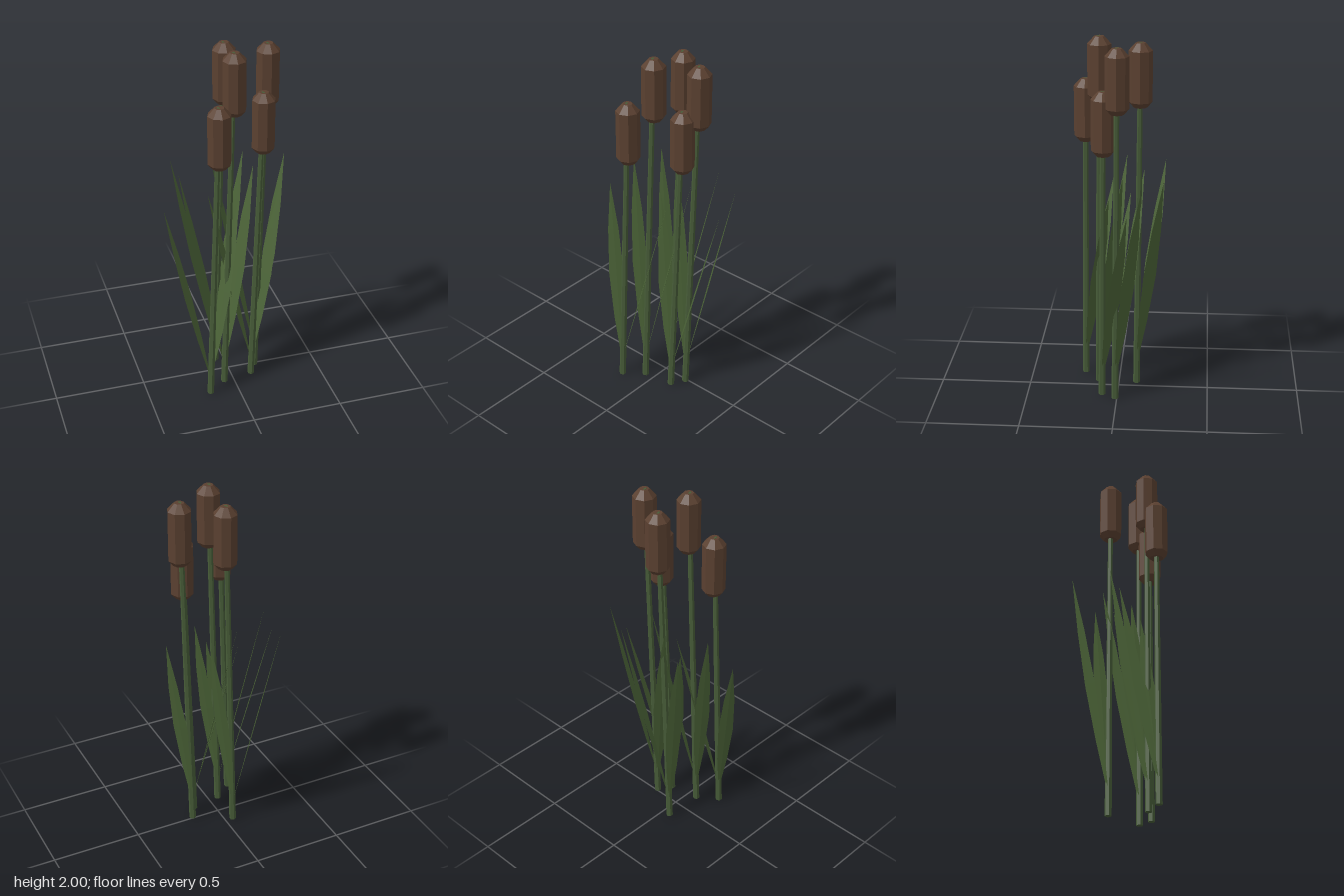
import * as THREE from 'three';

const material = (color) => new THREE.MeshStandardMaterial({ color, flatShading: true });

// Tapered stem between two points
function makeStem(base, top, mat) {
  const dir = top.clone().sub(base);
  const stem = new THREE.Mesh(new THREE.CylinderGeometry(0.013, 0.019, dir.length(), 6), mat);
  stem.name = 'stem';
  stem.position.copy(base).addScaledVector(dir, 0.5);
  stem.quaternion.setFromUnitVectors(new THREE.Vector3(0, 1, 0), dir.normalize());
  return stem;
}

// Thin blade with a diamond section, its width kept horizontal
function makeLeaf(root, tip, mat) {
  const dir = tip.clone().sub(root);
  const length = dir.length();
  dir.normalize();
  const profile = [0, 0.25, 0.5, 0.75, 1].map((t) =>
    new THREE.Vector2(t === 1 ? 0 : Math.max(0.004, 0.041 * Math.sin(Math.PI * t)), t * length));
  const geometry = new THREE.LatheGeometry(profile, 4);
  geometry.scale(1, 1, 0.06);
  const across = new THREE.Vector3(dir.z, 0, -dir.x).normalize();
  const normal = across.clone().cross(dir);
  const leaf = new THREE.Mesh(geometry, mat);
  leaf.name = 'leaf';
  leaf.quaternion.setFromRotationMatrix(new THREE.Matrix4().makeBasis(across, dir, normal));
  leaf.position.copy(root);
  return leaf;
}

export function createModel() {
  const model = new THREE.Group();
  model.name = 'cattails';
  const stemMat = material(0x475c38);
  const leafMat = material(0x4b6337);
  leafMat.side = THREE.DoubleSide;
  const headMat = material(0x5a4030);

  // Eight-sided seed head with bevelled ends, origin at its top
  const headGeometry = new THREE.LatheGeometry(
    [[0, -0.34], [0.038, -0.34], [0.063, -0.31], [0.063, -0.04], [0.026, 0], [0, 0]]
      .map(([r, y]) => new THREE.Vector2(r, y)), 8);

  // Base x, base z, height of each plant
  const plants = [
    [-0.16, 0.197, 1.75],
    [-0.056, 0.115, 2.0],
    [0.111, 0.085, 1.75],
    [0.155, 0.01, 1.985],
    [-0.047, -0.099, 1.97],
  ];

  for (const [x, z, height] of plants) {
    const plant = new THREE.Group();
    plant.name = 'plant';
    plant.position.set(x, 0, z);
    const top = new THREE.Vector3(0.06, height, -0.016);
    plant.add(makeStem(new THREE.Vector3(), top, stemMat));

    const head = new THREE.Mesh(headGeometry, headMat);
    head.name = 'seedHead';
    head.position.copy(top);
    plant.add(head);

    // Mirrored pair of leaves
    for (const side of [-1, 1]) {
      const root = new THREE.Vector3(0, 0.06 * height, 0);
      const tip = new THREE.Vector3(side * 0.206, 0.643 * height, -0.147);
      plant.add(makeLeaf(root, tip, leafMat));
    }
    model.add(plant);
  }
  return model;
}
